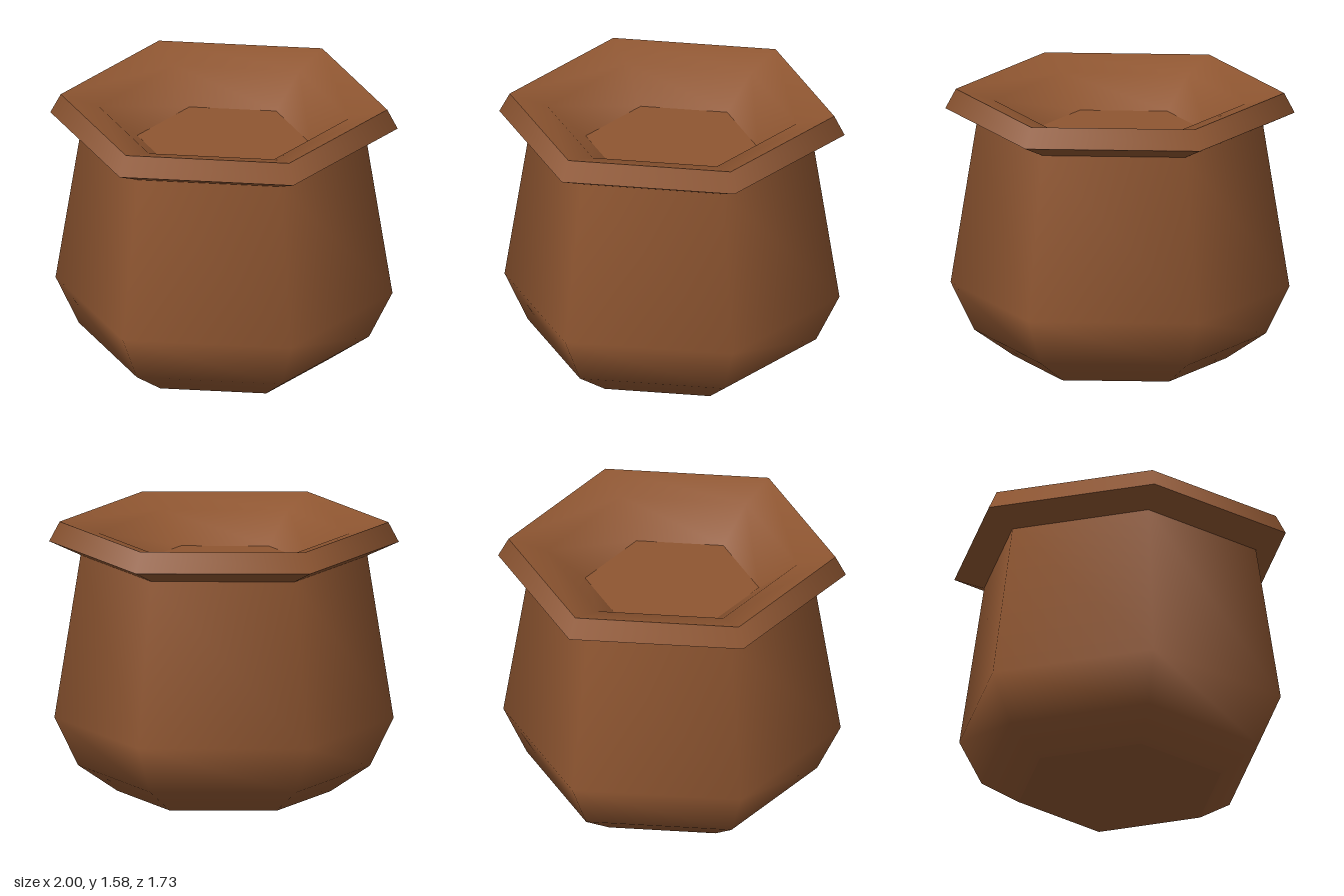
import * as THREE from 'three';

const SIDES = 6;

export function createModel() {
  const pot = new THREE.Group();
  pot.name = 'hexagonalPot';

  const clay = new THREE.MeshStandardMaterial({ color: 0x8f5631 });
  clay.name = 'brown clay';

  // Each profile is smooth inside; edges between profiles stay sharp.
  // Points are [radius, height], with a corner on the x axis.
  const addBand = (name, profile) => {
    const points = profile.map(([r, y]) => new THREE.Vector2(r, y));
    const mesh = new THREE.Mesh(new THREE.LatheGeometry(points, SIDES, Math.PI / 2), clay);
    mesh.name = name;
    pot.add(mesh);
  };

  // Flat hexagon facing up or down
  const addDisc = (name, radius, y, facing) => {
    const geometry = new THREE.CircleGeometry(radius, SIDES);
    geometry.rotateX(-facing * Math.PI / 2);
    const mesh = new THREE.Mesh(geometry, clay);
    mesh.name = name;
    mesh.position.y = y;
    pot.add(mesh);
  };

  // Rounded body on a flat base
  addDisc('base', 0.61, 0, -1);
  addBand('body', [[0.61, 0], [0.835, 0.15], [0.97, 0.43], [0.82, 1.38]]);

  // Flared rim
  addBand('rimUnderside', [[0.82, 1.38], [1, 1.46]]);
  addBand('rimOuterFace', [[1, 1.46], [0.94, 1.575]]);

  // Shallow bowl inside the rim
  addBand('innerSlope', [[0.94, 1.575], [0.72, 1.51], [0.5, 1.34]]);
  addDisc('innerFloor', 0.5, 1.34, 1);

  return pot;
}
